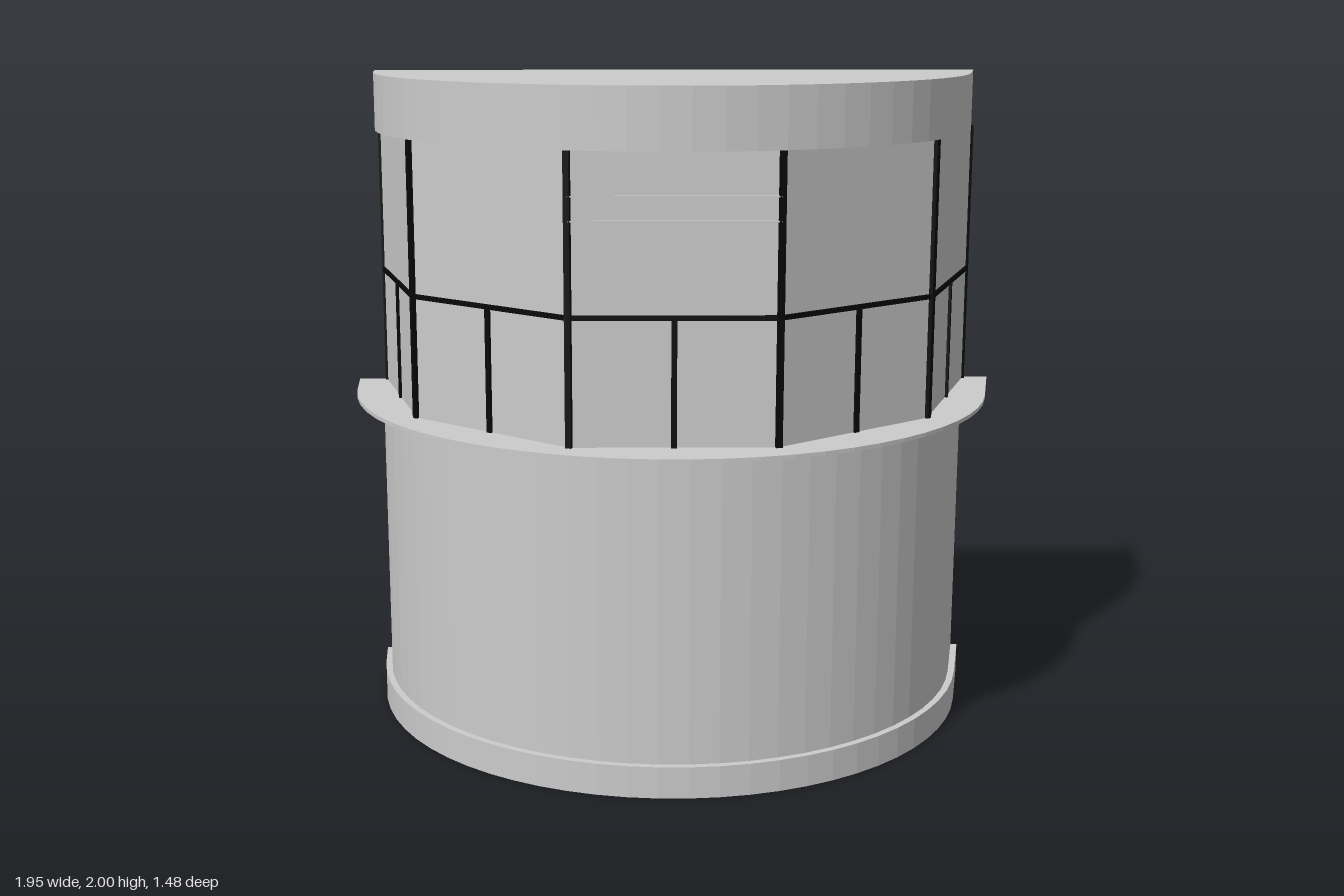
import * as THREE from 'three';

const grey = new THREE.MeshStandardMaterial({ color: 0xcccccc, flatShading: true });
const greySheet = new THREE.MeshStandardMaterial({ color: 0xcccccc, flatShading: true, side: THREE.DoubleSide });
const black = new THREE.MeshStandardMaterial({ color: 0x080808 });

// Plan: an arc with tangent ends, cut off by a slanted back plane
const CX = -0.02, CZ = -0.257;
const PHI_LOW = THREE.MathUtils.degToRad(-61.3), PHI_HIGH = THREE.MathUtils.degToRad(101.7);
const BACK = new THREE.Vector2(0.404, 0.915);

function planPath(radius, cut, segments) {
  const at = (phi) => new THREE.Vector2(CX + radius * Math.sin(phi), CZ + radius * Math.cos(phi));
  const toCut = (phi, sign) => {
    const p = at(phi);
    const t = new THREE.Vector2(Math.cos(phi), -Math.sin(phi)).multiplyScalar(sign);
    return p.addScaledVector(t, (cut - BACK.dot(p)) / BACK.dot(t));
  };
  const points = [toCut(PHI_LOW, -1)];
  for (let i = 0; i <= segments; i++) points.push(at(PHI_LOW + (PHI_HIGH - PHI_LOW) * i / segments));
  points.push(toCut(PHI_HIGH, 1));
  return points;
}

const toShape = (points) => new THREE.Shape(points.map((p) => new THREE.Vector2(p.x, -p.y)));

function createModel() {
  const group = new THREE.Group();
  const add = (name, geometry, material, parent = group) => {
    const mesh = new THREE.Mesh(geometry, material);
    mesh.name = name;
    parent.add(mesh);
    return mesh;
  };

  // Thick curved band between an outer and a coarser inner outline
  const band = (name, outer, inner, cut, y0, y1) => {
    const shape = toShape([...planPath(outer, cut, 30), ...planPath(inner, cut, 10).reverse()]);
    const geometry = new THREE.ExtrudeGeometry(shape, { depth: y1 - y0, bevelEnabled: false });
    geometry.rotateX(-Math.PI / 2).translate(0, y0, 0);
    add(name, geometry, grey);
  };
  band('plinth', 0.935, 0.735, -0.297, 0, 0.095);
  band('lowerWall', 0.915, 0.735, -0.295, 0.095, 1);
  band('sill', 0.997, 0.735, -0.315, 1, 1.012);

  // Hollow roof: top, soffit and curved fascia, open at the back
  const roofPath = planPath(0.917, -0.308, 30);
  const slab = (name, y) => {
    const geometry = new THREE.ShapeGeometry(toShape(roofPath));
    geometry.rotateX(-Math.PI / 2).translate(0, y, 0);
    add(name, geometry, greySheet);
  };
  slab('roofTop', 2);
  slab('roofSoffit', 1.828);
  const fascia = new THREE.PlaneGeometry(1, 1, roofPath.length - 1, 1);
  const pos = fascia.attributes.position;
  for (let i = 0; i < pos.count; i++) {
    const p = roofPath[i % roofPath.length];
    pos.setXYZ(i, p.x, i < roofPath.length ? 2 : 1.828, p.y);
  }
  fascia.computeVertexNormals();
  add('roofFascia', fascia, greySheet);

  // Window band: five flat bays
  const windows = new THREE.Group();
  windows.name = 'windowBand';
  group.add(windows);
  const corners = [[-0.88, 0.06], [-0.52, 0.5], [0.05, 0.655], [0.58, 0.425], [0.868, -0.085], [0.828, -0.688]];
  const Y0 = 1.012, Y1 = 1.828, RAIL = 1.375;

  const post = (name, x, z, top, width, turn) => {
    const mesh = add(name, new THREE.BoxGeometry(width, top - Y0, width), black, windows);
    mesh.position.set(x, (Y0 + top) / 2, z);
    mesh.rotation.y = turn;
  };

  for (let i = 0; i < corners.length - 1; i++) {
    const [ax, az] = corners[i], [bx, bz] = corners[i + 1];
    const length = Math.hypot(bx - ax, bz - az);
    const turn = Math.atan2(az - bz, bx - ax);
    const mx = (ax + bx) / 2, mz = (az + bz) / 2;

    const pane = add('windowPane', new THREE.PlaneGeometry(length, Y1 - Y0), greySheet, windows);
    pane.position.set(mx, (Y0 + Y1) / 2, mz);
    pane.rotation.y = turn;

    const rail = add('windowRail', new THREE.BoxGeometry(length, 0.014, 0.014), black, windows);
    rail.position.set(mx, RAIL, mz);
    rail.rotation.y = turn;

    post('lowerMullion', mx, mz, RAIL, 0.016, turn);

    // Thin slats across the upper part of the middle bay
    if (i === 2) {
      for (const y of [1.638, 1.705]) {
        const slat = add('windowSlat', new THREE.BoxGeometry(length, 0.004, 0.02), grey, windows);
        slat.position.set(mx, y, mz);
        slat.rotation.y = turn;
      }
    }
  }
  corners.forEach(([x, z], i) => {
    const end = i === 0 || i === corners.length - 1;
    post('windowPost', x, z, Y1, end ? 0.012 : 0.018, Math.atan2(x - CX, z - CZ));
  });

  return group;
}

export { createModel };
